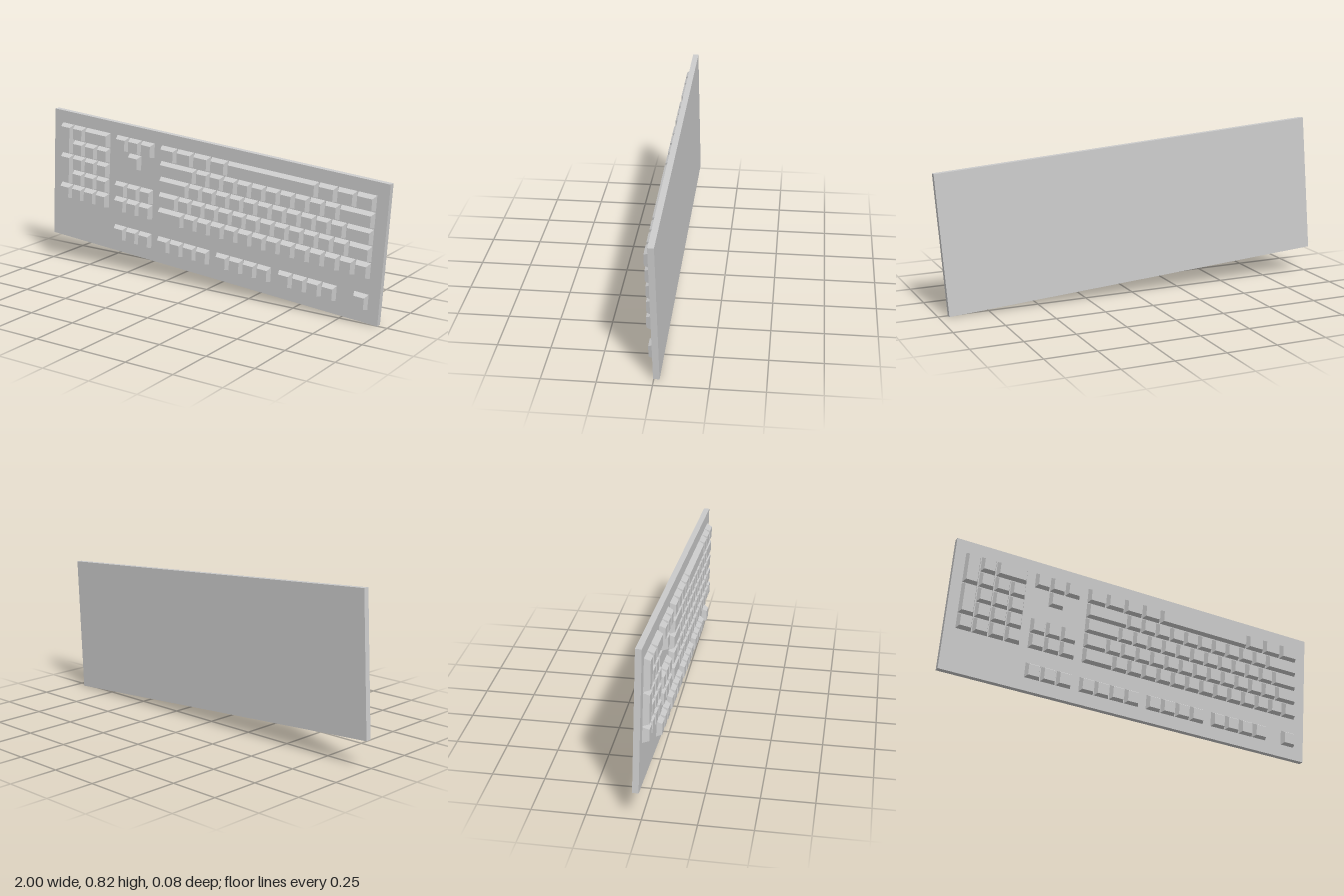
import * as THREE from 'three';

const UNIT = 0.0803;        // key pitch across
const ROW = 0.0813;         // key pitch between rows
const GAP = 0.005;
const BOARD = { w: 1.955, h: 0.687, t: 0.029 };
const TOP_ROW = 0.241;      // centre of the uppermost key row
const material = new THREE.MeshStandardMaterial({ color: 0xcccccc, flatShading: true });

// Tapered keycap: the outer face is inset, most on its upper side
function keycap(w, h, height) {
  const geo = new THREE.BoxGeometry(w, h, height);
  geo.translate(0, 0, height / 2);
  const pos = geo.attributes.position;
  for (let i = 0; i < pos.count; i++) {
    if (pos.getZ(i) < height / 2) continue;
    const x = pos.getX(i), y = pos.getY(i);
    pos.setX(i, x - Math.sign(x) * 0.01);
    pos.setY(i, y > 0 ? y - 0.014 : y + 0.007);
  }
  geo.computeVertexNormals();
  return geo;
}

const ones = (n) => Array(n).fill(1);

export function createModel() {
  const model = new THREE.Group();
  model.name = 'keyboard';

  // Leaning, slightly turned assembly
  const body = new THREE.Group();
  body.name = 'body';
  body.position.set(0, 0.415, -0.011);
  body.rotation.set(0.02, -0.0083, -0.07);
  model.add(body);

  const board = new THREE.Mesh(new THREE.BoxGeometry(BOARD.w, BOARD.h, BOARD.t), material);
  board.name = 'baseBoard';
  body.add(board);

  const block = (name) => {
    const g = new THREE.Group();
    g.name = name;
    g.position.z = BOARD.t / 2;
    body.add(g);
    return g;
  };

  // One key with its left edge at x, centred on y, sized in key units
  function addKey(group, x, y, w = 1, h = 1, height = 0.028) {
    const key = new THREE.Mesh(keycap(w * UNIT - GAP, h * ROW - GAP, height), material);
    key.name = 'key';
    key.position.set(x + (w * UNIT) / 2, y, 0);
    group.add(key);
  }

  // Run of keys from left to right
  function addRow(group, x, y, widths, height) {
    for (const w of widths) {
      addKey(group, x, y, w, 1, height);
      x += w * UNIT;
    }
  }
  const rowY = (r) => TOP_ROW - r * ROW;

  // Main typing block, spacebar row first
  const main = block('mainKeys');
  const mainRows = [
    [1.25, 1.25, 1.25, 1.25, 6.25, 1.25, 1.25, 1.25],
    [2.75, ...ones(10), 2.25],
    [2.25, ...ones(11), 1.75],
    [1.5, ...ones(12), 1.5],
    [2, ...ones(13)],
  ];
  const heights = [0.028, 0.027, 0.026, 0.027, 0.03];
  mainRows.forEach((widths, r) => addRow(main, -0.2845, rowY(r), widths, heights[r]));

  // Arrow and navigation keys
  const nav = block('navigationKeys');
  const navX = -0.565;
  addRow(nav, navX, rowY(0), ones(3), heights[0]);
  addKey(nav, navX + UNIT, rowY(1), 1, 1, heights[1]);
  addRow(nav, navX, rowY(3), ones(3), heights[3]);
  addRow(nav, navX, rowY(4), ones(3), heights[4]);

  // Number pad with two double-height keys
  const pad = block('numberPad');
  const padX = -0.926;
  addKey(pad, padX, rowY(0.5), 1, 2);
  addKey(pad, padX, rowY(2.5), 1, 2);
  addRow(pad, padX + UNIT, rowY(0), [1, 2], heights[0]);
  for (let r = 1; r < 4; r++) addRow(pad, padX + UNIT, rowY(r), ones(3), heights[r]);
  addRow(pad, padX, rowY(4), ones(4), heights[4]);

  // Separate key groups along the lower edge
  const lower = block('lowerKeys');
  const lowerGroups = [[-0.565, 3], [-0.286, 4], [0.073, 4], [0.434, 4], [0.842, 1]];
  for (const [x, n] of lowerGroups) addRow(lower, x, -0.239, ones(n), 0.026);

  return model;
}
